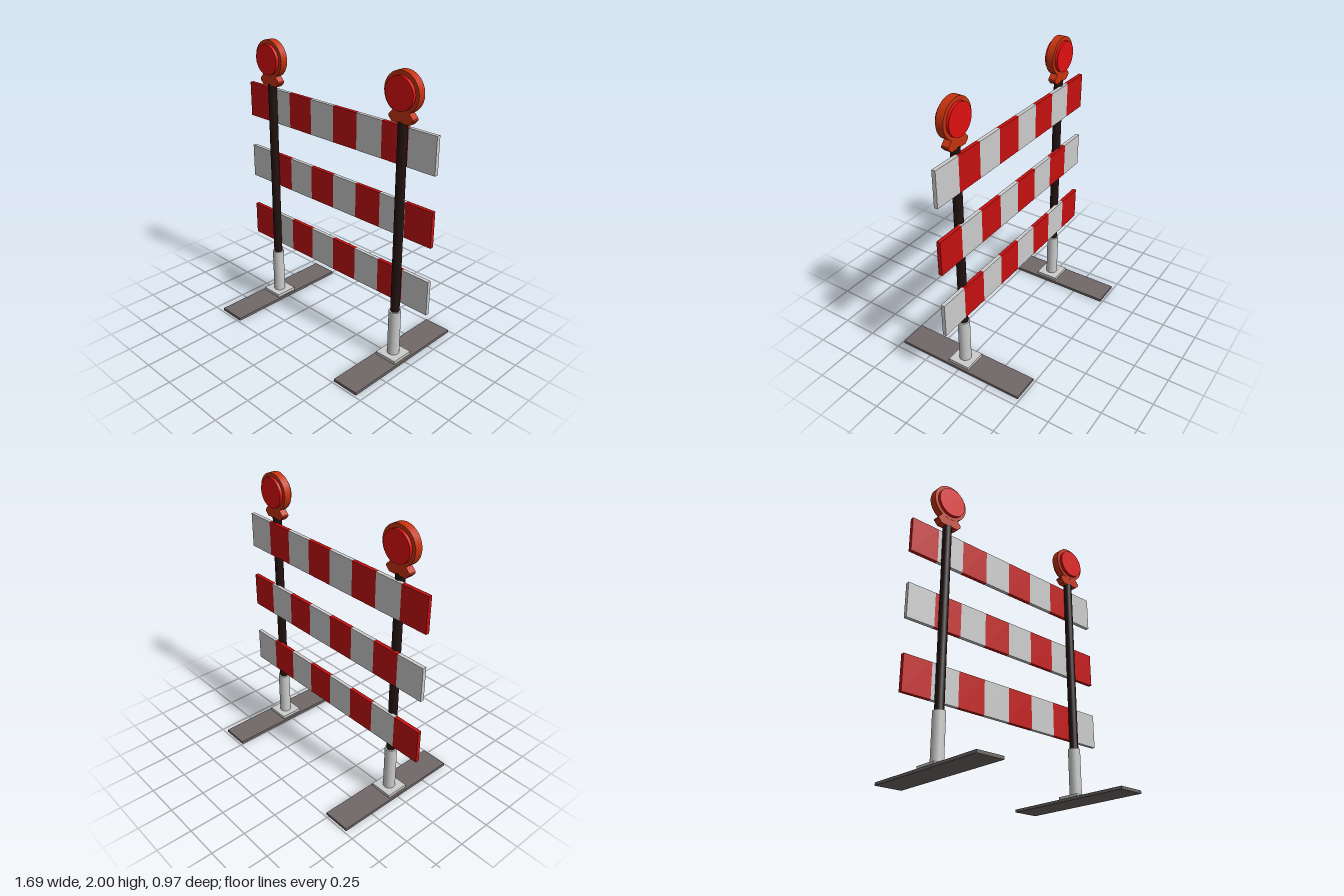
import * as THREE from 'three';

const mat = (color) => new THREE.MeshStandardMaterial({ color });
const grey = mat(0xcccccc);
const red = mat(0xc41010);
const dark = mat(0x21120f);
const rubber = mat(0x716868);
const orange = mat(0xc4320e);
const lensRed = mat(0xe01010);

const AXIS_Z = 0.01; // depth of the posts and lamps

function add(parent, name, geometry, material, x, y, z) {
  const mesh = new THREE.Mesh(geometry, material);
  mesh.name = name;
  mesh.position.set(x, y, z);
  parent.add(mesh);
  return mesh;
}

const box = (w, h, d) => new THREE.BoxGeometry(w, h, d);
const disc = (r, d) => new THREE.CylinderGeometry(r, r, d, 40).rotateX(Math.PI / 2);

// Striped board made of eight alternating panels
function createBoard(name, bottom, top, redFirst) {
  const board = new THREE.Group();
  board.name = name;
  const count = 8, width = 1.686 / count;
  for (let i = 0; i < count; i++) {
    const isRed = (i % 2 === 0) === redFirst;
    add(board, isRed ? 'redStripe' : 'whiteStripe', box(width, top - bottom, 0.027),
      isRed ? red : grey, -0.843 + (i + 0.5) * width, (bottom + top) / 2, -0.021);
  }
  return board;
}

// Round warning lamp on an angular neck
function createLamp() {
  const lamp = new THREE.Group();
  lamp.name = 'warningLamp';
  const neck = new THREE.Shape([
    [-0.066, 1.682], [0.066, 1.682], [0.093, 1.71], [0.093, 1.722],
    [0.06, 1.757], [0.06, 1.8], [-0.06, 1.8], [-0.06, 1.757], [-0.093, 1.722], [-0.093, 1.71],
  ].map(([x, y]) => new THREE.Vector2(x, y)));
  const neckGeometry = new THREE.ExtrudeGeometry(neck, { depth: 0.052, bevelEnabled: false });
  add(lamp, 'lampNeck', neckGeometry, orange, 0, 0, AXIS_Z - 0.026);
  add(lamp, 'lampHousing', disc(0.131, 0.054), orange, 0, 1.869, AXIS_Z);
  add(lamp, 'lampLens', disc(0.106, 0.096), lensRed, 0, 1.866, AXIS_Z + 0.001);
  return lamp;
}

// Foot, socket, post and lamp
function createStand(name, x) {
  const stand = new THREE.Group();
  stand.name = name;
  add(stand, 'foot', box(0.196, 0.02, 0.97), rubber, 0, 0.01, 0);
  add(stand, 'basePlate', box(0.164, 0.022, 0.164), grey, 0, 0.031, AXIS_Z);
  add(stand, 'socket', new THREE.CylinderGeometry(0.042, 0.042, 0.335, 24), grey, 0, 0.2075, AXIS_Z);
  add(stand, 'post', new THREE.CylinderGeometry(0.031, 0.031, 1.32, 20), dark, 0, 1.03, AXIS_Z);
  stand.add(createLamp());
  stand.position.x = x;
  return stand;
}

export function createModel() {
  const model = new THREE.Group();
  model.name = 'roadBarricade';
  model.add(
    createStand('rightStand', -0.578),
    createStand('leftStand', 0.601),
    createBoard('topBoard', 1.402, 1.651, true),
    createBoard('middleBoard', 0.924, 1.168, false),
    createBoard('bottomBoard', 0.44, 0.684, true),
  );
  return model;
}
